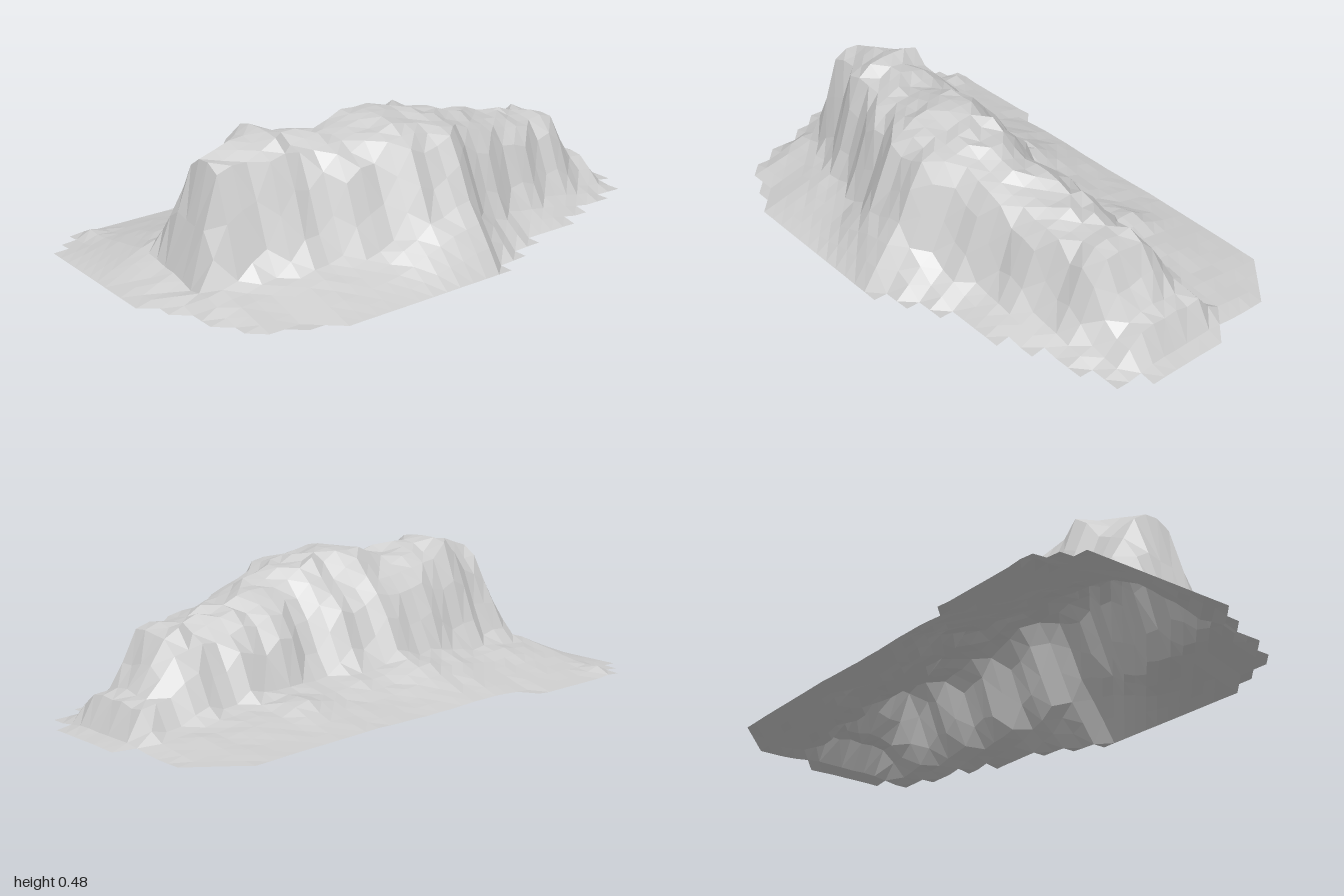
import * as THREE from 'three';

const NX = 23, NZ = 36, HALF_X = 0.583, HALF_Z = 1;

// Outline of the skirt: [z, x] along the left-hand (-x) and right-hand (+x) rims
const RIM_A = [[-1, -0.13], [-0.945, -0.13], [-0.944, -0.36], [-0.77, -0.52], [-0.76, -0.535], [0.44, -0.535],
  [0.5, -0.585], [0.88, -0.585], [0.89, -0.535], [0.94, -0.535], [0.95, -0.485], [1, -0.485]];
const RIM_B = [[-1, 0.18], [-0.944, 0.18], [-0.943, 0.28], [-0.83, 0.28], [-0.82, 0.33], [-0.67, 0.33],
  [-0.66, 0.38], [-0.56, 0.38], [-0.55, 0.43], [-0.33, 0.43], [-0.32, 0.48], [-0.22, 0.48], [-0.21, 0.53],
  [-0.11, 0.53], [-0.1, 0.585], [0.55, 0.585], [0.67, 0.48], [0.78, 0.48], [0.79, 0.43], [0.88, 0.3],
  [0.89, 0.18], [0.94, 0.18], [0.95, 0.07], [1, 0.07]];

// Rim heights: z, -x rim, +x rim
const RIM_Y = [[-1, 0.008, 0.008], [-0.8, 0.015, 0.012], [-0.3, 0.025, 0.012], [-0.05, 0.02, 0],
  [0.3, 0.025, 0], [0.5, 0.005, 0], [1, 0, 0]];

// Cross-sections: z, cliff foot (x, y), cliff top (x, y), crest y, far cliff top (x, y), far foot (x, y)
const SECTIONS = [
  [-1, -0.05, 0.01, -0.04, 0.01, 0.01, 0.08, 0.01, 0.12, 0.01],
  [-0.944, -0.18, 0.02, -0.13, 0.025, 0.025, 0.14, 0.025, 0.18, 0.015],
  [-0.889, -0.18, 0.04, -0.13, 0.115, 0.12, 0.13, 0.12, 0.21, 0.03],
  [-0.82, -0.18, 0.05, -0.13, 0.13, 0.14, 0.13, 0.13, 0.24, 0.03],
  [-0.722, -0.18, 0.06, -0.09, 0.24, 0.31, 0.13, 0.3, 0.24, 0.06],
  [-0.5, -0.18, 0.09, -0.1, 0.27, 0.345, 0.2, 0.31, 0.29, 0.07],
  [-0.31, -0.18, 0.1, -0.11, 0.3, 0.39, 0.23, 0.35, 0.33, 0.09],
  [-0.2, -0.17, 0.1, -0.05, 0.31, 0.425, 0.26, 0.38, 0.37, 0.12],
  [-0.05, -0.2, 0.11, -0.12, 0.31, 0.46, 0.33, 0.42, 0.43, 0.23],
  [0.11, -0.23, 0.125, -0.13, 0.33, 0.48, 0.3, 0.43, 0.42, 0.18],
  [0.3, -0.23, 0.125, -0.13, 0.33, 0.435, 0.25, 0.4, 0.37, 0.1],
  [0.5, -0.2, 0.1, -0.08, 0.45, 0.475, 0.18, 0.42, 0.3, 0.09],
  [0.722, -0.2, 0.09, -0.07, 0.31, 0.415, 0.13, 0.4, 0.23, 0.06],
  [0.833, -0.18, 0.08, -0.1, 0.08, 0.06, 0.13, 0.03, 0.22, 0.05],
  [1, -0.2, 0, -0.15, 0, 0, 0, 0, 0.03, 0],
];

// Small outcrops on the lower slopes: x, z, height, radius
const OUTCROPS = [[-0.31, -0.4, 0.04, 0.1], [-0.32, 0.14, 0.03, 0.13], [-0.53, 0.83, 0.02, 0.07],
  [-0.28, 0.6, 0.015, 0.1], [-0.27, -0.1, 0.015, 0.1]];

// Interpolates a row of values at t from a table keyed by its first column
function sample(table, t) {
  let k = 0;
  while (k < table.length - 2 && table[k + 1][0] < t) k++;
  const a = table[k], b = table[k + 1];
  const f = THREE.MathUtils.clamp((t - a[0]) / (b[0] - a[0]), 0, 1);
  return a.slice(1).map((v, n) => v + (b[n + 1] - v) * f);
}

// Repeatable noise in -1..1
function noise(i, j) {
  const s = Math.sin(i * 127.1 + j * 311.7) * 43758.5453;
  return (s - Math.floor(s)) * 2 - 1;
}

const nodeX = (i) => -HALF_X + (2 * HALF_X * i) / NX;
const nodeZ = (j) => -HALF_Z + (2 * HALF_Z * j) / NZ;

function heightAt(i, j) {
  const x = nodeX(i), z = nodeZ(j);
  const [ax, ay, bx, by, cy, dx, dy, ex, ey] = sample(SECTIONS, z);
  const [rimAY, rimBY] = sample(RIM_Y, z);
  const rimA = Math.min(sample(RIM_A, z)[0], ax - 0.03);
  const rimB = Math.max(sample(RIM_B, z)[0], ex + 0.03);
  const width = dx - bx;
  const profile = [[rimA, rimAY], [ax, ay], [bx, by], [bx + width * 0.35, cy], [bx + width * 0.65, cy],
    [dx, dy], [ex, ey], [rimB, rimBY]];
  // broad gullies in the cliffs
  const onCliff = x > ax && x < ex && z < 0.7;
  const gully = onCliff ? 0.012 * Math.sin(z * 31 + (x > 0.05 ? 1 : 4)) : 0;
  let y = sample(profile, x + gully)[0];
  const rough = y > 0.2 ? 0.013 : 0.06 * y;
  y += noise(i, j) * rough - rough * 0.2;
  for (const [ox, oz, h, r] of OUTCROPS) {
    y += h * Math.max(0, 1 - Math.hypot(x - ox, z - oz) / r);
  }
  return Math.max(0, y);
}

function insideCell(i, j) {
  if (i < 0 || j < 0 || i >= NX || j >= NZ) return false;
  const x = (nodeX(i) + nodeX(i + 1)) / 2, z = (nodeZ(j) + nodeZ(j + 1)) / 2;
  return x > sample(RIM_A, z)[0] && x < sample(RIM_B, z)[0];
}

function buildTerrain() {
  const heights = Array.from({ length: NZ + 1 }, (_, j) =>
    Array.from({ length: NX + 1 }, (_, i) => heightAt(i, j)));
  const positions = [];
  const triangle = (...nodes) => nodes.forEach(([i, j]) =>
    positions.push(nodeX(i), heights[j][i], nodeZ(j)));

  for (let j = 0; j < NZ; j++) {
    for (let i = 0; i < NX; i++) {
      // corners in order, turning so that faces point up
      const c = [[i, j], [i, j + 1], [i + 1, j + 1], [i + 1, j]];
      if (insideCell(i, j)) {
        // split along the diagonal with the smaller height change
        const [h0, h1, h2, h3] = c.map(([p, q]) => heights[q][p]);
        const k = Math.abs(h0 - h2) <= Math.abs(h1 - h3) ? 0 : 1;
        triangle(c[k], c[k + 1], c[k + 2]);
        triangle(c[k], c[k + 2], c[(k + 3) % 4]);
        continue;
      }
      // chamfered rim corners; the back +x and front -x rims stay stepped
      if (nodeX(i) * nodeZ(j) < 0 && (nodeX(i) > 0 || nodeZ(j) > 0.7)) continue;
      const sides = [insideCell(i - 1, j), insideCell(i, j + 1), insideCell(i + 1, j), insideCell(i, j - 1)];
      for (let k = 0; k < 4; k++) {
        if (sides[k] && sides[(k + 1) % 4]) {
          triangle(c[k], c[(k + 1) % 4], c[(k + 2) % 4]);
          break;
        }
      }
    }
  }
  const geometry = new THREE.BufferGeometry();
  geometry.setAttribute('position', new THREE.Float32BufferAttribute(positions, 3));
  geometry.computeVertexNormals();
  return geometry;
}

export function createModel() {
  const group = new THREE.Group();
  group.name = 'rockyMesa';
  // open shell of faceted ground rising to a rocky ridge
  const terrain = new THREE.Mesh(buildTerrain(), new THREE.MeshStandardMaterial({
    color: 0xcccccc, flatShading: true, side: THREE.DoubleSide,
  }));
  terrain.name = 'mesaTerrain';
  group.add(terrain);
  return group;
}
